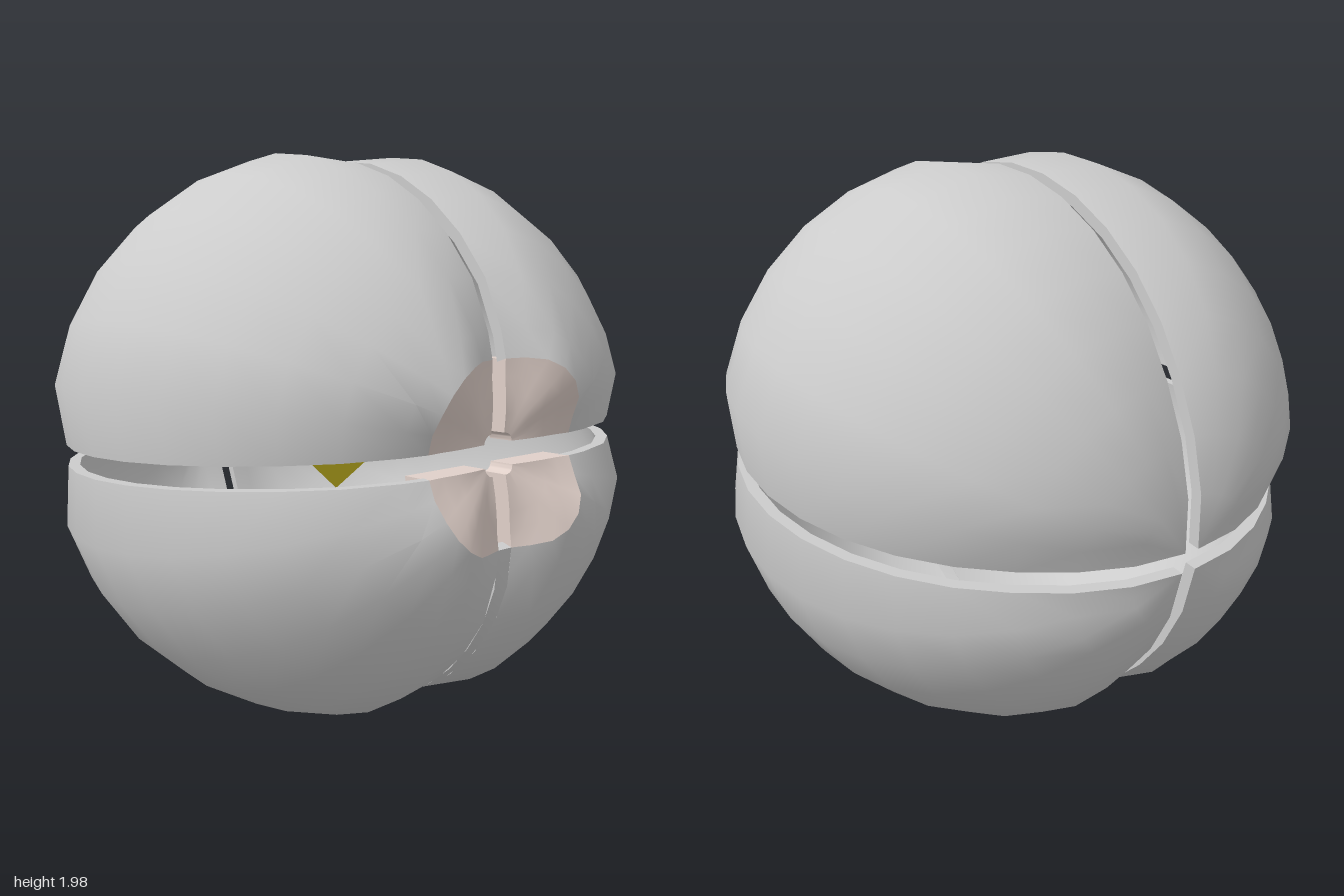
import * as THREE from 'three';
import { toCreasedNormals } from 'three/addons/utils/BufferGeometryUtils.js';

const R = 1.015;            // shell radius
const RIM = 0.28;           // polar angle of the mouth rim, measured from +x
const GAP_Y = 0.036, GAP_Z = 0.026; // half widths of the two slits

const grey = new THREE.MeshStandardMaterial({ color: 0xcccccc, side: THREE.DoubleSide });
const pink = new THREE.MeshStandardMaterial({ color: 0xe0d0c9, side: THREE.DoubleSide });
const yellow = new THREE.MeshStandardMaterial({ color: 0xddcb26, flatShading: true });

// Point of one quarter segment; the surface sinks towards the slits.
function quarterPoint(t, phi, sy, sz, inner) {
  const s = Math.sin(t);
  let y = s * Math.cos(phi), z = s * Math.sin(phi);
  const nearSlit = 1 - THREE.MathUtils.smoothstep(Math.min(y, z), 0, 0.17);
  const nearMouth = Math.exp(-((t - RIM) ** 2) / 0.015);
  const poleFade = 1 - 0.6 * THREE.MathUtils.smoothstep(t, 2.5, Math.PI);
  let r = R * (1 - nearSlit * (0.045 * poleFade + 0.03 * nearMouth));
  const isMouth = t < RIM - 1e-6;
  if (inner && t > RIM) r -= 0.04;
  let x = Math.cos(Math.max(t, RIM)) * r;
  if (isMouth) x -= 0.05 * (1 - t / RIM);
  y = GAP_Y + y * r * (1 - GAP_Y);
  z = GAP_Z + z * r * (1 - GAP_Z);
  return new THREE.Vector3(x, y * sy, z * sz);
}

// Skin closed cross-sections: first half is outside, second half inside in reverse.
function loft(sections, flip) {
  const n = sections[0].length;
  const close = row => row.map((p, i) => (i < n / 2 ? row[n - 1 - i] : p));
  const rows = [close(sections[0]), ...sections, close(sections[sections.length - 1])];
  const index = [];
  for (let i = 0; i < rows.length - 1; i++) {
    for (let j = 0; j < n; j++) {
      const k = (j + 1) % n;
      const a = i * n + j, b = i * n + k, c = a + n, d = b + n;
      if (flip) index.push(a, b, c, b, d, c);
      else index.push(a, c, b, b, c, d);
    }
  }
  const geometry = new THREE.BufferGeometry().setFromPoints(rows.flat());
  geometry.setIndex(index);
  return toCreasedNormals(geometry, 0.7);
}

function addMesh(parent, name, geometry, material) {
  const mesh = new THREE.Mesh(geometry, material);
  mesh.name = name;
  parent.add(mesh);
  return mesh;
}

// Range of polar angles
const steps = (from, to, n) => Array.from({ length: n + 1 }, (_, i) => from + (to - from) * i / n);

// Quarter segment between two polar angles
function quarter(angles, sy, sz, innerOf) {
  const phis = steps(0, Math.PI / 2, 7);
  const sections = angles.map(t => {
    const outer = phis.map(p => quarterPoint(t, p, sy, sz, false));
    const inner = phis.map(p => innerOf(t, p)).reverse();
    return [...outer, ...inner];
  });
  return loft(sections, sy * sz < 0);
}

export function createModel() {
  const model = new THREE.Group();
  model.name = 'splitSphere';

  // Tilted body whose +x axis runs through the mouth
  const body = new THREE.Group();
  body.name = 'body';
  body.position.set(0, 0.99, 0.005);
  body.rotation.set(0, -0.04, 0.095);
  model.add(body);

  for (const sy of [1, -1]) {
    for (const sz of [1, -1]) {
      const label = (sy > 0 ? 'upper' : 'lower') + (sz > 0 ? 'Front' : 'Back');

      // Thin hollow shell
      const shellAngles = [RIM, ...steps(RIM + 0.09, Math.PI, 15)];
      addMesh(body, label + 'Shell', quarter(shellAngles, sy, sz,
        (t, p) => quarterPoint(t + 1e-5, p, sy, sz, true)), grey);

      // Fleshy dished mouth pad with deep inner edges
      addMesh(body, label + 'MouthPad', quarter(steps(0.03, RIM, 4), sy, sz, (t, p) => {
        const q = quarterPoint(t, p, sy, sz, false);
        q.x = 0.79;
        return q;
      }), pink);
    }
  }

  // Groove joining the two lower shells from the mouth to the underside
  const groove = steps(RIM, 1.68, 10).map(t => [
    quarterPoint(t, 0, -1, -1, false), quarterPoint(t, 0, -1, 1, false),
    quarterPoint(t + 1e-5, 0, -1, 1, true), quarterPoint(t + 1e-5, 0, -1, -1, true),
  ]);
  addMesh(body, 'lowerGroove', loft(groove, true), grey);

  // Faceted crystal in the hollow
  const core = addMesh(model, 'core', new THREE.OctahedronGeometry(0.23), yellow);
  core.position.set(0.035, 1.0, 0.04);
  core.rotation.set(0.15, 0.35, -0.1);

  return model;
}
